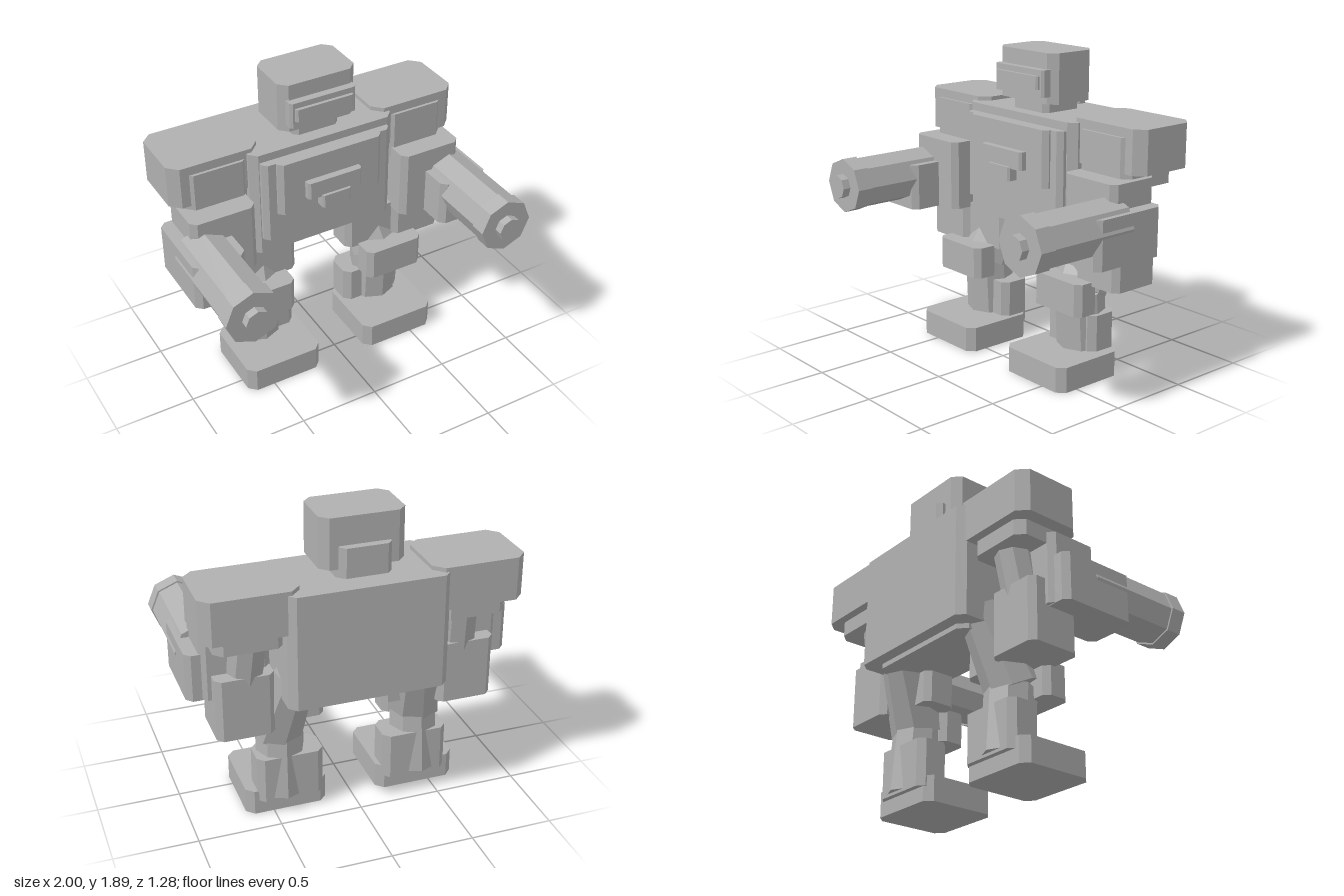
import * as THREE from 'three';

export function createModel() {
  const robot = new THREE.Group();
  robot.name = 'robot';
  const grey = new THREE.MeshStandardMaterial({ color: 0xb0b0b0, flatShading: true });
  grey.name = 'plain grey';

  function add(name, geometry, parent) {
    const mesh = new THREE.Mesh(geometry, grey);
    mesh.name = name;
    parent.add(mesh);
    return mesh;
  }

  // Box given by its limits, with the four upright edges bevelled
  function block(name, [x0, x1], [y0, y1], [z0, z1], c = 0.045, parent = robot) {
    const s = new THREE.Shape([
      [x0 + c, -z1], [x1 - c, -z1], [x1, -z1 + c], [x1, -z0 - c],
      [x1 - c, -z0], [x0 + c, -z0], [x0, -z0 - c], [x0, -z1 + c],
    ].map(([x, y]) => new THREE.Vector2(x, y)));
    const g = new THREE.ExtrudeGeometry(s, { depth: y1 - y0, bevelEnabled: false });
    g.rotateX(-Math.PI / 2).translate(0, y0, 0);
    return add(name, g, parent);
  }

  // Eight-sided tapered strut between two points
  function strut(name, from, to, r0, r1, parent) {
    const a = new THREE.Vector3(...from), b = new THREE.Vector3(...to);
    const dir = b.clone().sub(a);
    const mesh = add(name, new THREE.CylinderGeometry(r1, r0, dir.length(), 8), parent);
    mesh.position.copy(a).add(b).multiplyScalar(0.5);
    mesh.quaternion.setFromUnitVectors(new THREE.Vector3(0, 1, 0), dir.normalize());
    return mesh;
  }

  // Head
  block('head', [-0.25, 0.25], [1.59, 1.89], [-0.505, -0.165], 0.05);
  block('visorFrame', [-0.215, 0.215], [1.635, 1.795], [-0.2, -0.118], 0.015);
  block('visor', [-0.187, 0.187], [1.68, 1.76], [-0.18, -0.097], 0.012);
  block('headBackPlate', [-0.15, 0.15], [1.55, 1.725], [-0.552, -0.45], 0.03);
  block('neck', [-0.152, 0.152], [1.5, 1.6], [-0.485, -0.2], 0.03);

  // Torso and layered chest
  block('torso', [-0.475, 0.475], [0.835, 1.525], [-0.64, -0.115], 0.045);
  block('chestPlate', [-0.425, 0.425], [0.95, 1.475], [-0.3, -0.065], 0.03);
  block('chestPanel', [-0.345, 0.345], [1.13, 1.475], [-0.2, -0.025], 0.03);
  block('chestBar', [-0.18, 0.18], [1.215, 1.325], [-0.1, 0.02], 0.015);
  block('chestLatch', [-0.095, 0.095], [1.14, 1.225], [-0.1, 0.038], 0.012);
  block('pelvis', [-0.4, 0.4], [0.805, 0.9], [-0.565, -0.18], 0.05);

  for (const [side, s] of [['left', 1], ['right', -1]]) {
    const arm = new THREE.Group();
    arm.name = side + 'Arm';
    const leg = new THREE.Group();
    leg.name = side + 'Leg';
    robot.add(arm, leg);
    const span = (a, b) => (s > 0 ? [a, b] : [-b, -a]);

    // Shoulder and arm
    block('shoulder', span(0.383, 0.947), [1.29, 1.55], [-0.603, -0.173], 0.06, arm);
    block('shoulderCore', span(0.46, 0.865), [1.195, 1.495], [-0.55, -0.155], 0.05, arm);
    strut('upperArm', [s * 0.66, 0.78, -0.31], [s * 0.63, 1.3, -0.41], 0.11, 0.11, arm);
    block('elbow', span(0.5, 0.845), [0.602, 0.985], [-0.45, -0.115], 0.035, arm);
    block('forearm', span(0.497, 0.903), [0.83, 1.262], [-0.355, -0.022], 0.035, arm);

    // Cannon
    block('cannonHousing', span(0.662, 0.983), [0.826, 1.115], [-0.33, 0.17], 0.035, arm);
    const x = s * 0.83, y = 1.025;
    strut('cannonBarrel', [x, y, -0.1], [x, y, 0.5], 0.16, 0.16, arm);
    strut('cannonMuzzle', [x, y, 0.49], [x, y, 0.588], 0.17, 0.17, arm);
    strut('cannonTip', [x, y, 0.55], [x, y, 0.637], 0.075, 0.075, arm);

    // Leg
    block('hip', span(0.18, 0.645), [0.61, 0.86], [-0.36, -0.15], 0.035, leg);
    strut('thigh', [s * 0.435, 0.5, -0.225], [s * 0.37, 0.96, -0.42], 0.165, 0.125, leg);
    block('kneeGuard', span(0.26, 0.652), [0.427, 0.625], [-0.18, -0.01], 0.035, leg);
    strut('shin', [s * 0.43, 0.1, -0.265], [s * 0.425, 0.5, -0.24], 0.152, 0.148, leg);
    block('ankle', span(0.192, 0.598), [0.09, 0.38], [-0.385, -0.18], 0.04, leg);
    block('foot', span(0.162, 0.664), [0, 0.155], [-0.352, 0.127], 0.045, leg);
  }
  return robot;
}
